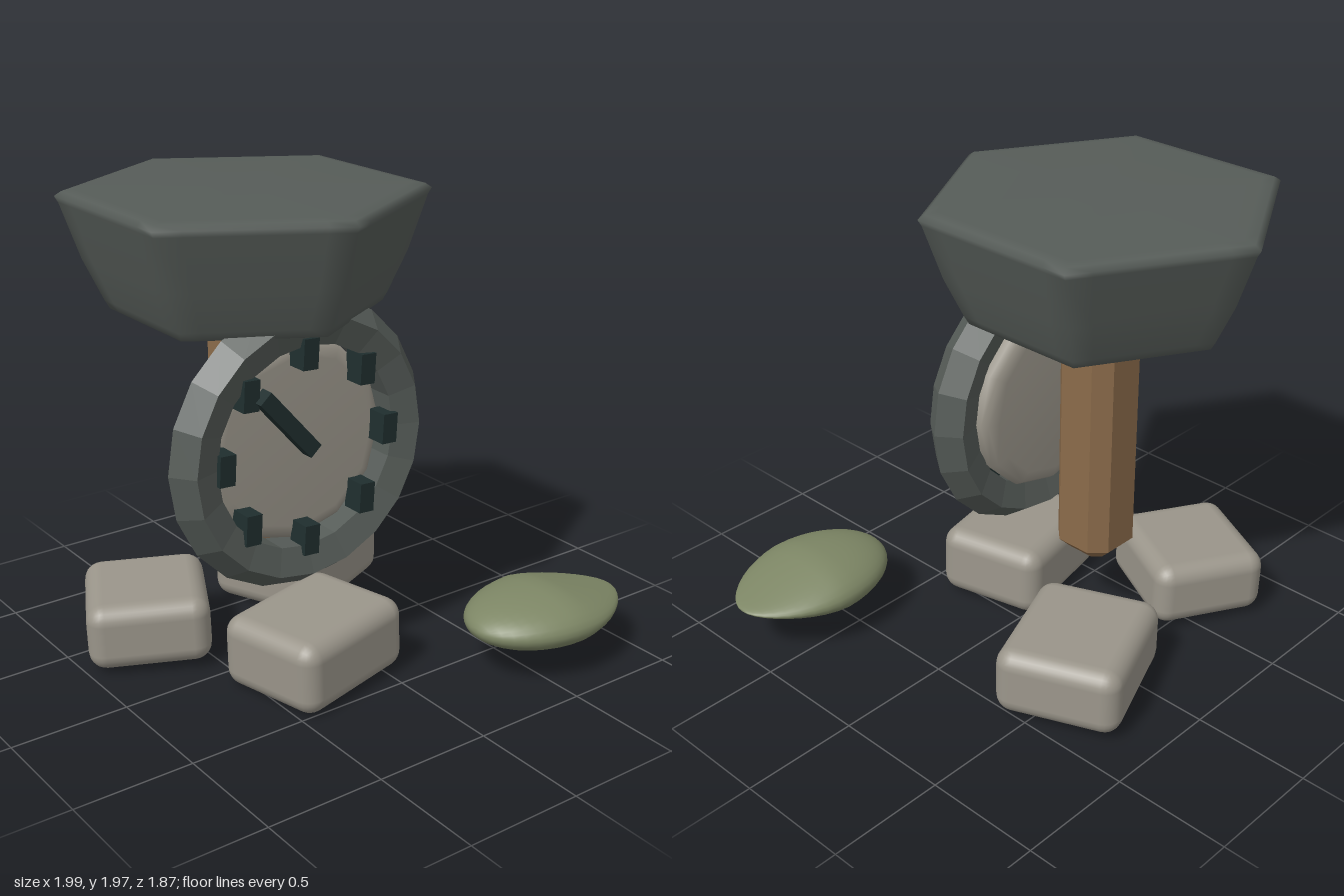
import * as THREE from 'three';
import { mergeVertices } from 'three/addons/utils/BufferGeometryUtils.js';
import { RoundedBoxGeometry } from 'three/addons/geometries/RoundedBoxGeometry.js';

const mat = (name, color, flatShading = false) => {
  const m = new THREE.MeshStandardMaterial({ color, flatShading });
  m.name = name;
  return m;
};

// Moves every vertex by a rule, welds seams and rebuilds smooth normals
function reshape(geo, rule) {
  const p = geo.attributes.position, v = new THREE.Vector3();
  for (let i = 0; i < p.count; i++) {
    rule(v.fromBufferAttribute(p, i));
    p.setXYZ(i, v.x, v.y, v.z);
  }
  geo.deleteAttribute('uv');
  geo.deleteAttribute('normal');
  const welded = mergeVertices(geo, 1e-4);
  welded.computeVertexNormals();
  return welded;
}

const profile = pts => pts.map(([r, y]) => new THREE.Vector2(r, y));

export function createModel() {
  const group = new THREE.Group();
  const slate = mat('slate', 0x565c58);
  const slateFlat = slate;
  const stone = mat('stone', 0x9a958a);
  const wood = mat('wood', 0x8b6b4a);
  const moss = mat('moss', 0x7d8665);
  const dark = mat('darkTeal', 0x1f2e2e);

  const add = (name, geo, material, x, y, z) => {
    const mesh = new THREE.Mesh(geo, material);
    mesh.name = name;
    mesh.position.set(x, y, z);
    group.add(mesh);
    return mesh;
  };
  const faceted = geo => {
    const g = geo.index ? geo.toNonIndexed() : geo;
    g.computeVertexNormals();
    return g;
  };

  // Hexagonal roof: a lathe squeezed into six sides, corners on the z axis
  const roof = new THREE.LatheGeometry(profile([
    [0, 1.48], [0.5, 1.482], [0.545, 1.495], [0.565, 1.53], [0.645, 1.7],
    [0.722, 1.925], [0.737, 1.95], [0.71, 1.968], [0.66, 1.975], [0, 1.98],
  ]), 48);
  add('roof', reshape(roof, v => {
    const third = Math.PI / 3;
    const a = (Math.atan2(v.x, v.z) + 2 * Math.PI + 1e-6) % third - third / 2;
    const f = Math.cos(third / 2) / Math.cos(a);
    v.x *= f;
    v.z *= f;
  }), slate, -0.26, 0, -0.2);

  // Chamfered post
  const h = 0.09, c = 0.052;
  const outline = new THREE.Shape([
    [h, -h - c], [h + c, -h], [h + c, h], [h, h + c],
    [-h, h + c], [-h - c, h], [-h - c, -h], [-h, -h - c],
  ].map(([x, y]) => new THREE.Vector2(x * 0.65, y * 0.65)));
  const post = new THREE.ExtrudeGeometry(outline, {
    depth: 0.966, bevelEnabled: true, bevelSegments: 1, bevelSize: 0.05, bevelThickness: 0.052,
  });
  post.translate(0, 0, -0.483);
  post.rotateX(Math.PI / 2);
  add('post', faceted(post), wood, -0.26, 0.905, -0.2);

  // Dial: five-sided ring and a stone disc
  add('dialRing', faceted(new THREE.TorusGeometry(0.5, 0.1, 5, 20)), slateFlat, -0.26, 1.01, 0.155);
  const disc = new THREE.LatheGeometry(profile([
    [0, -0.06], [0.35, -0.06], [0.4, -0.045], [0.42, -0.02],
    [0.42, 0.03], [0.4, 0.05], [0.36, 0.06], [0, 0.06],
  ]), 12);
  disc.rotateX(Math.PI / 2);
  add('dialFace', reshape(disc, () => {}), stone, -0.26, 1.01, 0.09);

  // Hour marks and hand
  for (let i = 0; i < 8; i++) {
    const a = i * Math.PI / 4;
    const mark = add('hourMark', new THREE.BoxGeometry(0.07, 0.125, 0.1), dark,
      -0.26 + 0.388 * Math.cos(a), 1.01 + 0.388 * Math.sin(a), 0.19);
    mark.rotation.z = -0.06;
  }
  const hand = add('hand', new THREE.BoxGeometry(0.065, 0.35, 0.06), dark, -0.38, 1.145, 0.246);
  hand.rotation.z = 0.72;

  // Foundation stones: width, height, depth, x, y, z, turn
  for (const [w, ht, d, x, y, z, turn] of [
    [0.6, 0.31, 0.49, -0.25, 0.168, 0.235, 0.23],
    [0.51, 0.285, 0.54, -0.665, 0.172, -0.4, -0.48],
    [0.62, 0.295, 0.53, 0.18, 0.168, -0.5, 0.4],
  ]) {
    const rock = add('foundationStone', new RoundedBoxGeometry(w, ht, d, 3, 0.075), stone, x, y, z);
    rock.rotation.y = turn;
    rock.rotation.z = 0.03;
  }

  // Leaf-like pebble tapering to a thin tip at +x
  const pebble = new THREE.SphereGeometry(1, 32, 20);
  pebble.rotateZ(Math.PI / 2);
  add('leafPebble', reshape(pebble, v => {
    const t = Math.max(0, v.x);
    v.set(v.x * 0.375, v.y * 0.113 * (1 - 0.7 * t) + 0.008 * t * t, v.z * 0.266 * (1 - 0.2 * t * t));
  }), moss, 0.622, 0.228, 0.663);

  return group;
}
